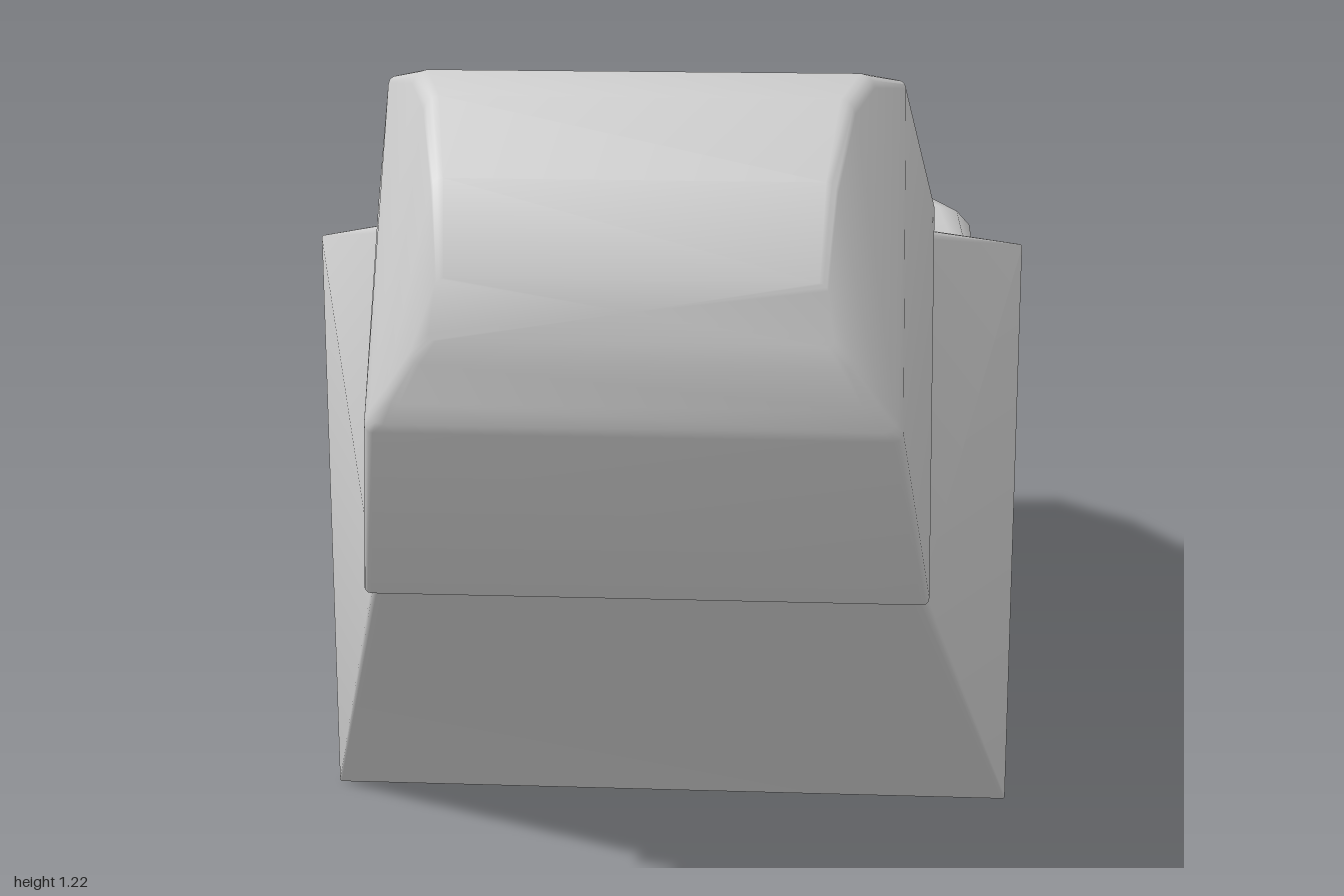
import * as THREE from 'three';
import { toCreasedNormals } from 'three/addons/utils/BufferGeometryUtils.js';

// Rounded four-sided section; top and bottom are [z, y, halfWidth]
function section(top, bottom, radius, steps = 3) {
  const h = Math.hypot(top[0] - bottom[0], top[1] - bottom[1]);
  const wide = Math.max(top[2], bottom[2]);
  const r = Math.min(radius, h * 0.49);
  const points = [];
  for (let c = 0; c < 4; c++) {
    const sx = c === 0 || c === 3 ? 1 : -1;
    const sy = c < 2 ? 1 : -1;
    for (let i = 0; i <= steps; i++) {
      const a = (c + i / steps) * Math.PI / 2;
      const px = sx * (wide - r) + r * Math.cos(a);
      const v = (sy * (h / 2 - r) + r * Math.sin(a)) / h + 0.5;
      const lerp = (k) => bottom[k] + (top[k] - bottom[k]) * v;
      points.push(new THREE.Vector3(px * lerp(2) / wide, lerp(1), lerp(0)));
    }
  }
  return points;
}

// Skin a list of equal-length loops and close both ends
function loft(name, loops, crease) {
  const triangles = [];
  const n = loops[0].length;
  for (let s = 0; s < loops.length - 1; s++) {
    for (let i = 0; i < n; i++) {
      const j = (i + 1) % n;
      const a = loops[s][i], b = loops[s][j], c = loops[s + 1][j], d = loops[s + 1][i];
      // The shorter diagonal keeps both sides mirrored
      if (a.distanceTo(c) < b.distanceTo(d)) triangles.push([a, b, c], [a, c, d]);
      else triangles.push([a, b, d], [b, c, d]);
    }
  }
  const cap = (loop, flip) => {
    const mid = new THREE.Vector3();
    loop.forEach((p) => mid.addScaledVector(p, 1 / n));
    loop.forEach((p, i) => {
      const q = loop[(i + 1) % n];
      triangles.push(flip ? [mid, q, p] : [mid, p, q]);
    });
  };
  cap(loops[0], true);
  cap(loops[loops.length - 1], false);

  // Turn the faces outward using the sign of the enclosed volume
  const cross = new THREE.Vector3();
  let volume = 0;
  for (const [a, b, c] of triangles) volume += a.dot(cross.crossVectors(b, c));
  const positions = [];
  for (const [a, b, c] of triangles) {
    for (const p of volume > 0 ? [a, b, c] : [a, c, b]) positions.push(p.x, p.y, p.z);
  }
  const geometry = new THREE.BufferGeometry();
  geometry.setAttribute('position', new THREE.Float32BufferAttribute(positions, 3));
  const mesh = new THREE.Mesh(
    toCreasedNormals(geometry, crease),
    new THREE.MeshStandardMaterial({ color: 0xcccccc })
  );
  mesh.name = name;
  return mesh;
}

export function createModel() {
  const model = new THREE.Group();
  model.name = 'model';

  // Long body, narrowing and curving upward to the tail tip
  model.add(loft('body', [
    section([0.28, 0.85, 0.475], [0.28, 0.055, 0.475], 0.025),
    section([-0.6, 0.79, 0.505], [-0.3, 0.045, 0.425], 0.07),
    section([-0.73, 0.825, 0.385], [-0.55, 0.17, 0.35], 0.06),
    section([-0.85, 0.86, 0.28], [-0.78, 0.34, 0.245], 0.04),
    section([-0.93, 0.845, 0.205], [-0.95, 0.61, 0.165], 0.025),
    section([-1, 0.835, 0.14], [-0.997, 0.81, 0.14], 0.01),
  ], 0.95));

  // Flared collar around the front of the body
  model.add(loft('collar', [
    section([0.27, 0.845, 0.47], [0.27, 0.06, 0.47], 0.01),
    section([0.31, 0.9, 0.535], [0.31, 0, 0.535], 0.004),
  ], 0.5));

  // Neck tapering from the collar to the back of the head
  model.add(loft('neck', [
    section([0.31, 0.9, 0.535], [0.31, 0, 0.535], 0.004),
    section([0.56, 0.97, 0.385], [0.765, 0.49, 0.385], 0.015),
  ], 0.6));

  // Head: tilted block, tapering forward to a bulging front
  model.add(loft('head', [
    section([0.55, 0.965, 0.385], [0.755, 0.495, 0.385], 0.01),
    section([0.585, 1.015, 0.394], [0.785, 0.485, 0.394], 0.01),
    section([0.735, 1.205, 0.348], [0.982, 0.772, 0.35], 0.012),
    section([0.785, 1.22, 0.305], [0.987, 0.785, 0.343], 0.02),
    section([0.85, 1.195, 0.28], [0.993, 0.815, 0.32], 0.02),
    section([0.932, 1.1, 0.26], [1, 0.87, 0.285], 0.015),
    section([0.985, 0.98, 0.25], [0.999, 0.9, 0.26], 0.01),
  ], 0.65));

  return model;
}
